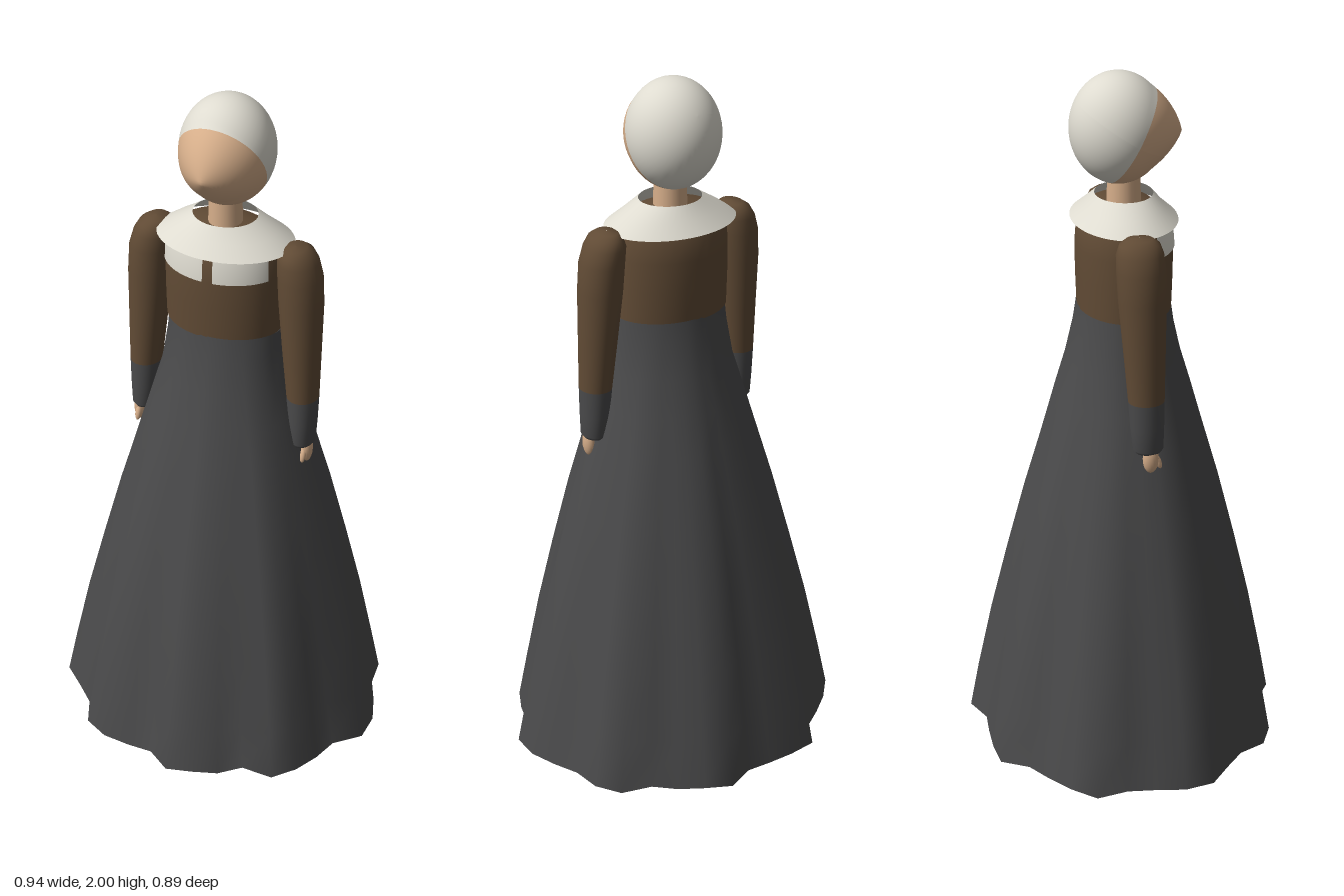
import * as THREE from 'three';

const mat = (name, color, side = THREE.FrontSide) => {
  const m = new THREE.MeshStandardMaterial({ color, side });
  m.name = name;
  return m;
};

// Surface through rows x cols points; closed joins the last column to the first
function loft(rows, cols, point, closed = true) {
  const pos = [], idx = [];
  for (let i = 0; i < rows; i++) for (let j = 0; j < cols; j++) pos.push(...point(i, j));
  const span = closed ? cols : cols - 1;
  for (let i = 0; i < rows - 1; i++) {
    for (let j = 0; j < span; j++) {
      const k = (j + 1) % cols, a = i * cols, b = a + cols;
      idx.push(a + j, a + k, b + k, a + j, b + k, b + j);
    }
  }
  const g = new THREE.BufferGeometry();
  g.setAttribute('position', new THREE.Float32BufferAttribute(pos, 3));
  g.setIndex(idx);
  g.computeVertexNormals();
  return g;
}

// Elliptical rings, bottom to top: [y, radiusX, radiusZ, centreX, centreZ]
function rings(list, from = 0, to = Math.PI * 2, n = 32) {
  const closed = to - from > 6.28;
  return loft(list.length, closed ? n : n + 1, (i, j) => {
    const [y, rx, rz, cx = 0, cz = 0] = list[i];
    const t = from + (to - from) * j / n;
    return [cx + rx * Math.sin(t), y, cz + rz * Math.cos(t)];
  }, closed);
}

// Tilted ellipsoid cap; the face is drawn forward to a soft nose point
function headCap(start, length) {
  const g = new THREE.SphereGeometry(1, 48, 28, 0, Math.PI * 2, start, length);
  g.rotateX(2.11);
  g.scale(0.127, 0.15, 0.13);
  const p = g.attributes.position;
  for (let i = 0; i < p.count; i++) {
    if (p.getZ(i) <= 0) continue;
    const dy = p.getY(i) + 0.02;
    const d = Math.hypot(p.getX(i) / 0.12, dy / (dy > 0 ? 0.13 : 0.09));
    p.setZ(i, p.getZ(i) + 0.042 * Math.max(0, 1 - d));
  }
  g.computeVertexNormals();
  g.translate(0, 1.85, -0.015);
  return g;
}

// Hem radius every 10 degrees, starting at the front
const HEM = [
  0.44, 0.427, 0.422, 0.4, 0.455, 0.45, 0.438, 0.427, 0.475, 0.47, 0.45, 0.437,
  0.463, 0.466, 0.42, 0.43, 0.437, 0.452, 0.41, 0.42, 0.44, 0.466, 0.428, 0.442,
  0.465, 0.49, 0.452, 0.455, 0.477, 0.484, 0.447, 0.43, 0.46, 0.448, 0.42, 0.4,
];
const SKIRT = [
  [0.06, 0.455, 0.425], [0.2, 0.427, 0.4], [0.4, 0.388, 0.362], [0.6, 0.343, 0.318],
  [0.8, 0.295, 0.27], [1, 0.24, 0.215], [1.1, 0.212, 0.188], [1.2, 0.183, 0.159],
  [1.3, 0.168, 0.136], [1.36, 0.163, 0.127],
];
const polar = (rx, rz, t) => 1 / Math.hypot(Math.sin(t) / rx, Math.cos(t) / rz);

export function createModel() {
  const skin = mat('skin', 0xd6ae8a);
  const hairMat = mat('off-white hair', 0xdedbd0);
  const white = mat('white linen', 0xdedbd0, THREE.DoubleSide);
  const brown = mat('brown cloth', 0x614b35);
  const grey = mat('dark grey cloth', 0x4a4a4b, THREE.DoubleSide);
  const shoeMat = mat('dark shoe', 0x434345);

  const model = new THREE.Group();
  const body = new THREE.Group();
  body.name = 'upperBody';
  body.position.x = -0.006;
  model.add(body);
  const add = (name, geometry, material, parent = body) => {
    const m = new THREE.Mesh(geometry, material);
    m.name = name;
    parent.add(m);
    return m;
  };

  // Head and neck
  add('face', headCap(0, 1.27), skin);
  add('hair', headCap(1.27, Math.PI - 1.27), hairMat);
  add('neck', new THREE.CylinderGeometry(0.043, 0.047, 0.14, 24).translate(0, 1.68, 0), skin);

  // Bodice, front bib in two halves, open collar
  add('bodice', rings([
    [1.355, 0.163, 0.127], [1.45, 0.165, 0.13], [1.53, 0.165, 0.131], [1.59, 0.162, 0.126],
    [1.62, 0.145, 0.105], [1.64, 0.11, 0.08], [1.65, 0.04, 0.04], [1.65, 0.001, 0.001],
  ]), brown);
  const bib = [[1.53, 0.168, 0.134], [1.59, 0.165, 0.129], [1.615, 0.155, 0.115]];
  add('bibRight', rings(bib, -1.1, -0.05, 16), white);
  add('bibLeft', rings(bib, 0.12, 1.1, 16), white);
  add('collar', rings([
    [1.603, 0.19, 0.143], [1.635, 0.145, 0.108], [1.67, 0.088, 0.078],
  ], 0, Math.PI * 2, 48), white);

  // Pleated skirt, folds fading towards the waist
  add('skirt', loft(SKIRT.length, HEM.length, (i, j) => {
    const [y, rx, rz] = SKIRT[i];
    const t = j * Math.PI * 2 / HEM.length;
    const fold = Math.min(1, (1.36 - y) / 1.1);
    const r = polar(rx, rz, t) * (1 + fold * (HEM[j] / polar(0.455, 0.425, t) - 1));
    return [r * Math.sin(t), y, r * Math.cos(t)];
  }), grey, model);

  for (const [side, s] of [['left', 1], ['right', -1]]) {
    const mirrored = list => list.map(([y, rx, rz, cx, cz]) => [y, rx, rz, s * cx, cz]);

    // Arm: sleeve, cuff and hand
    const arm = new THREE.Group();
    arm.name = side + 'Arm';
    body.add(arm);
    add(side + 'Sleeve', rings(mirrored([
      [1.165, 0.044, 0.049, 0.234, 0.013], [1.3, 0.052, 0.056, 0.227, 0.009],
      [1.45, 0.06, 0.064, 0.22, 0.004], [1.53, 0.06, 0.066, 0.215, 0.002],
      [1.575, 0.055, 0.063, 0.207, 0], [1.6, 0.044, 0.054, 0.203, 0],
      [1.613, 0.028, 0.036, 0.2, 0], [1.616, 0.001, 0.001, 0.2, 0],
    ])), brown, arm);
    add(side + 'Cuff', rings(mirrored([
      [1.015, 0.001, 0.001, 0.238, 0.018], [1.016, 0.028, 0.034, 0.238, 0.018],
      [1.026, 0.035, 0.042, 0.238, 0.017], [1.09, 0.04, 0.046, 0.236, 0.015],
      [1.165, 0.044, 0.049, 0.234, 0.013],
    ])), grey, arm);
    const hand = add(side + 'Hand', new THREE.SphereGeometry(1, 20, 14), skin, arm);
    hand.scale.set(0.017, 0.042, 0.022);
    hand.position.set(s * 0.252, 1, 0.022);
    const thumb = add(side + 'Thumb', new THREE.SphereGeometry(1, 12, 10), skin, arm);
    thumb.scale.set(0.009, 0.024, 0.009);
    thumb.position.set(s * 0.25, 0.99, 0.042);
    thumb.rotation.x = -0.35;

    // Leg and rounded shoe
    add(side + 'Leg', new THREE.CylinderGeometry(0.06, 0.036, 0.75, 24)
      .translate(s * 0.095, 0.435, -0.005), shoeMat, model);
    const shoe = add(side + 'Shoe', rings([
      [0, 0.001, 0.001], [0.001, 0.03, 0.075], [0.012, 0.043, 0.095], [0.035, 0.049, 0.105],
      [0.06, 0.047, 0.103], [0.085, 0.037, 0.085], [0.1, 0.02, 0.05], [0.104, 0.001, 0.001],
    ]), shoeMat, model);
    shoe.position.set(s * 0.097 - 0.006, 0, 0.036);
  }
  return model;
}
